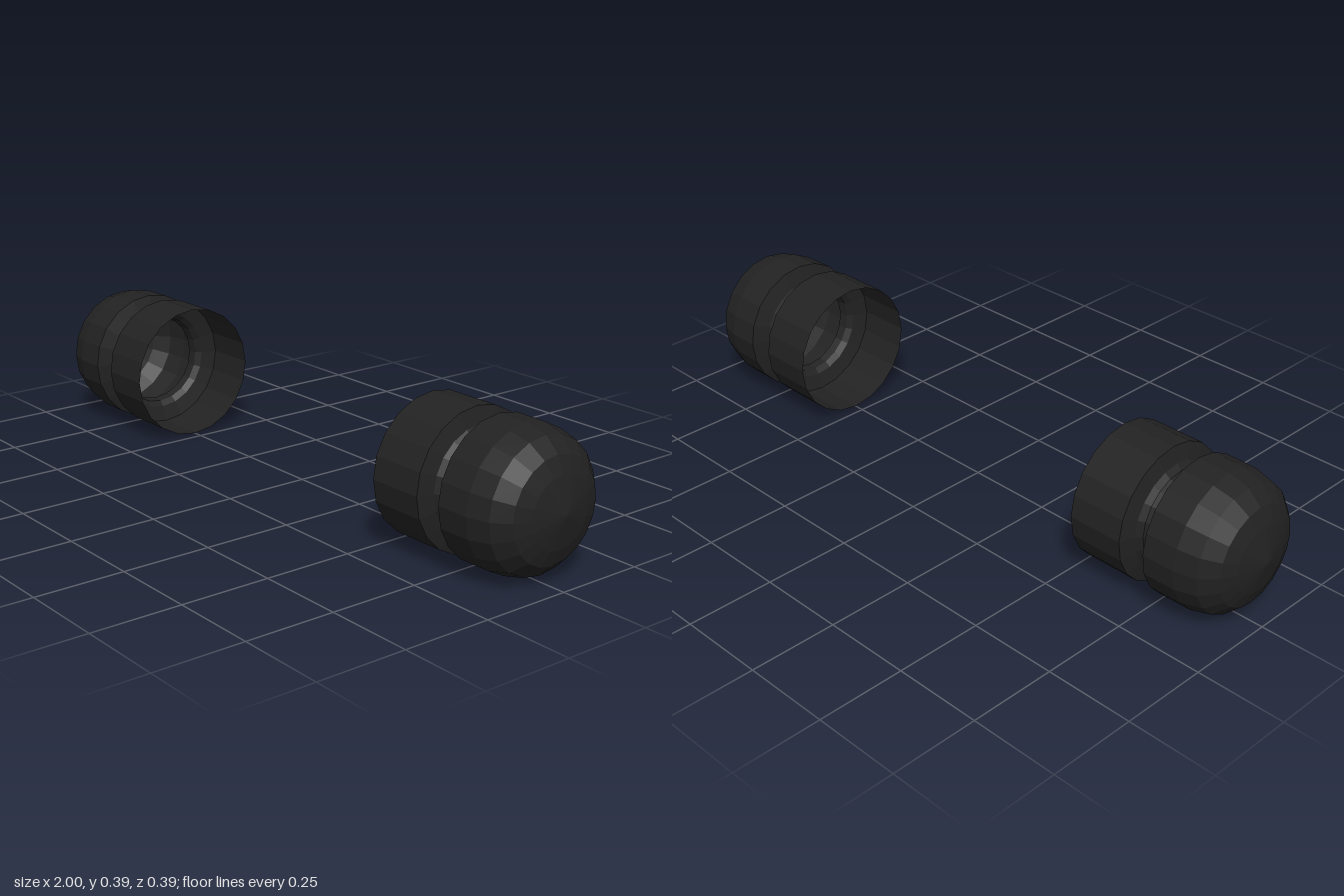
import * as THREE from 'three';

const RADIUS = 0.194;

// Half outline of one cap: [distance from the model's centre, radius]
const PROFILE = [
  [0.53, RADIUS], [0.69, RADIUS],                                // open sleeve
  [0.703, 0.15], [0.717, 0.135], [0.742, 0.13], [0.75, 0.145],   // groove
  [0.766, RADIUS], [0.86, 0.193],                                // head
  [0.92, 0.178], [0.96, 0.14], [0.978, 0.095], [1.0, 0],         // domed end
];

function createCap(name, side, material) {
  const points = PROFILE.map(([along, r]) => new THREE.Vector2(r, along));
  const geometry = new THREE.LatheGeometry(points, 20);
  geometry.rotateZ(-side * Math.PI / 2); // lay the axis along x
  const cap = new THREE.Mesh(geometry, material);
  cap.name = name;
  cap.position.y = RADIUS;
  return cap;
}

export function createModel() {
  const model = new THREE.Group();
  model.name = 'barEndCaps';
  // The sleeves are hollow, so the inside shows too
  const material = new THREE.MeshStandardMaterial({
    color: 0x222222, flatShading: true, side: THREE.DoubleSide,
  });
  model.add(createCap('leftCap', 1, material), createCap('rightCap', -1, material));
  return model;
}
